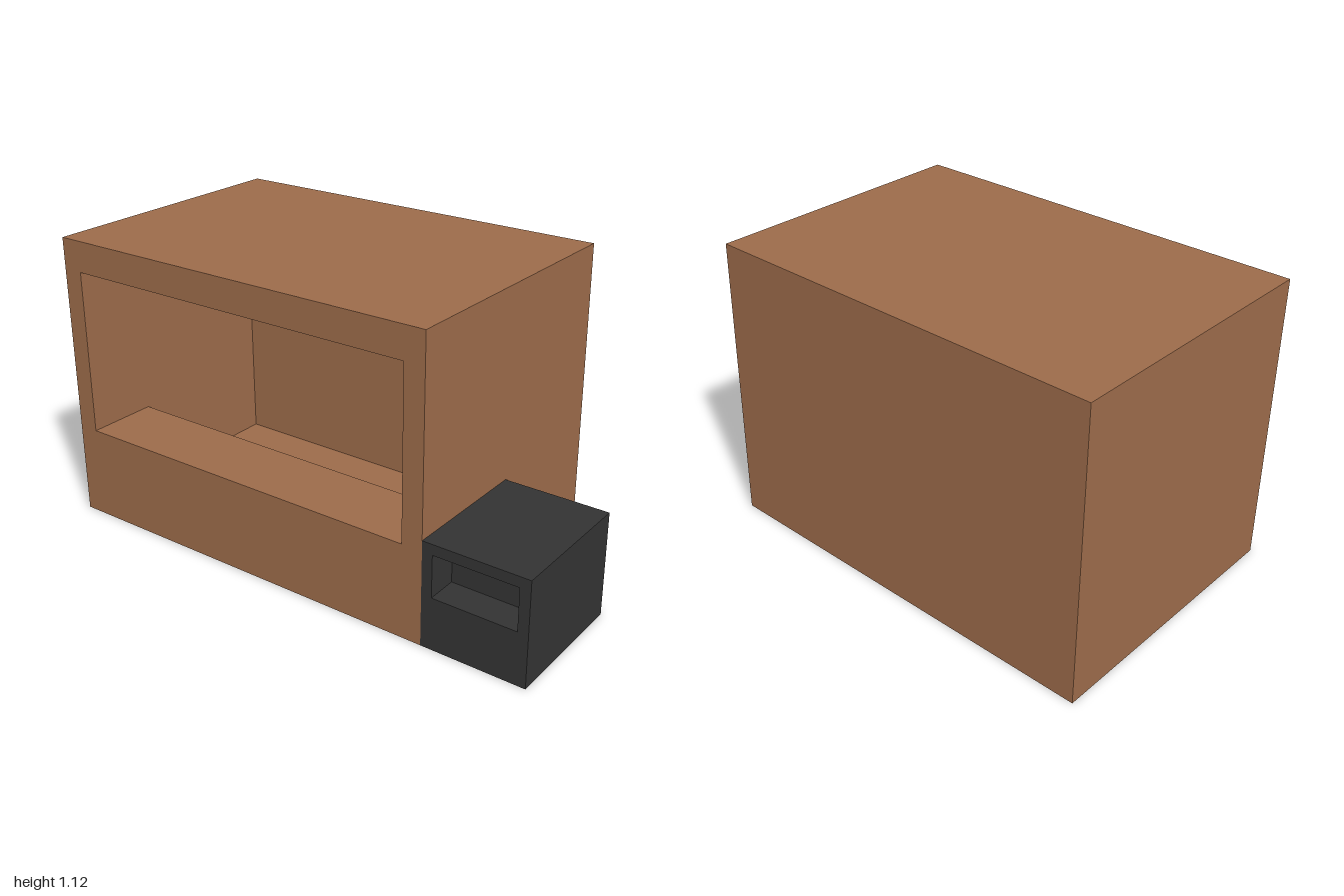
import * as THREE from 'three';

// Builds an open-fronted body: a side profile (z, y) swept across the opening, closed by two end walls.
function openBody(name, material, profile, box, wall) {
  const [x0, x1, height, zBack, zFront] = box;
  const group = new THREE.Group();
  group.name = name;

  const shape = new THREE.Shape(profile.map(([z, y]) => new THREE.Vector2(z, y)));
  const geometry = new THREE.ExtrudeGeometry(shape, { depth: x1 - x0 - 2 * wall, bevelEnabled: false });
  geometry.rotateY(-Math.PI / 2); // shape x becomes z, depth runs towards -x
  const shell = new THREE.Mesh(geometry, material);
  shell.name = name + 'Shell';
  shell.position.x = x1 - wall;
  group.add(shell);

  // End walls
  for (const [side, x] of [['right', x0 + wall / 2], ['left', x1 - wall / 2]]) {
    const end = new THREE.Mesh(new THREE.BoxGeometry(wall, height, zFront - zBack), material);
    end.name = side + 'Wall';
    end.position.set(x, height / 2, (zBack + zFront) / 2);
    group.add(end);
  }
  return group;
}

export function createModel() {
  const brown = new THREE.MeshStandardMaterial({ color: 0x9c6b4a });
  brown.name = 'brown';
  const charcoal = new THREE.MeshStandardMaterial({ color: 0x333333 });
  charcoal.name = 'charcoal';

  const model = new THREE.Group();
  model.name = 'serviceBooth';

  // Main booth: deep counter at the front, sunken floor behind it
  model.add(openBody('booth', brown, [
    [-0.54, 0], [0.54, 0], [0.54, 0.36], [0.26, 0.36], [0.26, 0.04],
    [-0.38, 0.04], [-0.38, 1.0], [0.54, 1.0], [0.54, 1.12], [-0.54, 1.12],
  ], [-1, 0.6, 1.12, -0.54, 0.54], 0.08));

  // Small side box with a shallow recess
  model.add(openBody('sideBox', charcoal, [
    [0.02, 0], [0.54, 0], [0.54, 0.2], [0.42, 0.2],
    [0.42, 0.36], [0.54, 0.36], [0.54, 0.4], [0.02, 0.4],
  ], [0.6, 1, 0.4, 0.02, 0.54], 0.04));

  return model;
}
